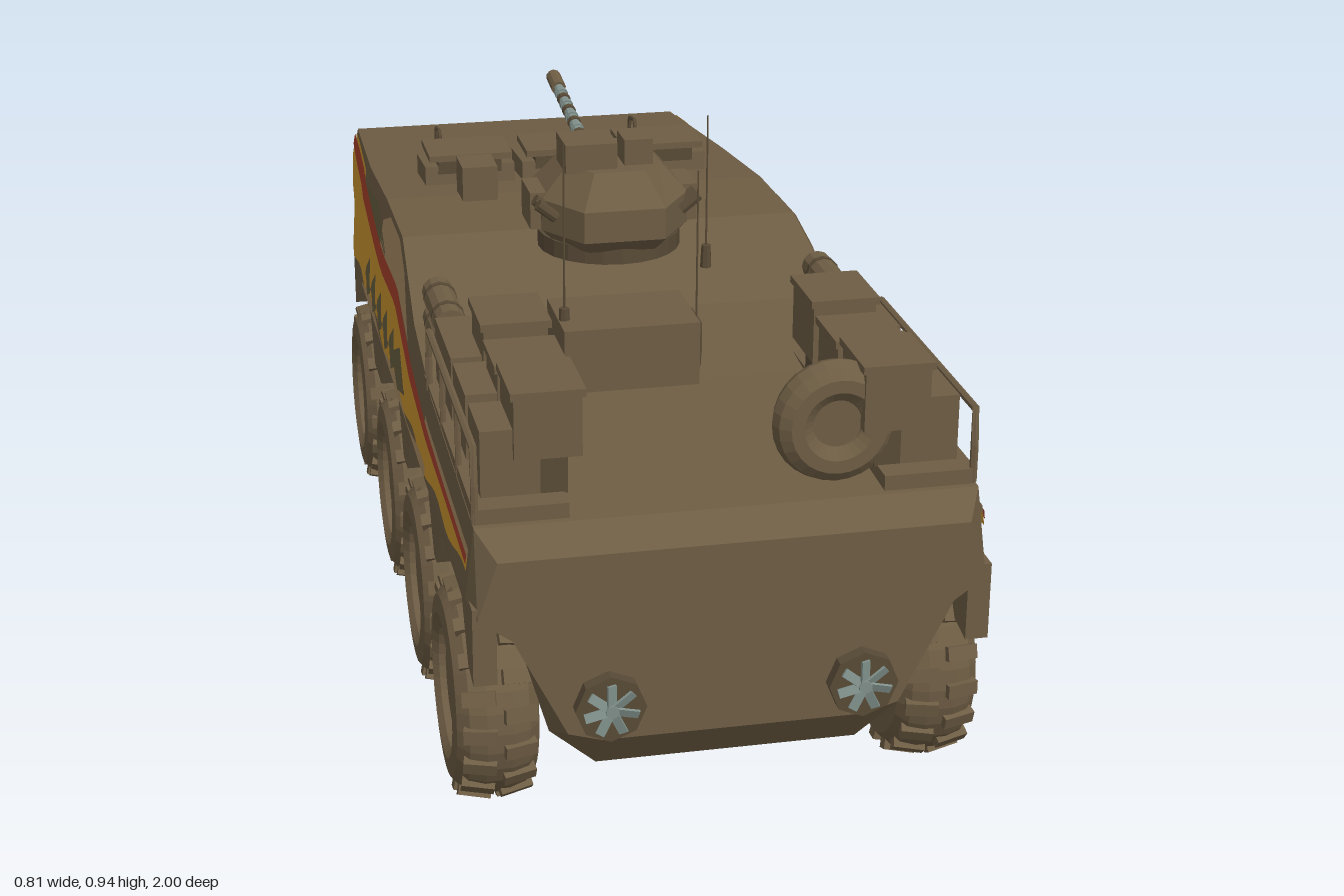
import * as THREE from 'three';

const { lerp, clamp } = THREE.MathUtils;
const mat = (name, color, side = THREE.FrontSide) => {
  const m = new THREE.MeshStandardMaterial({ color, side, flatShading: true });
  m.name = name;
  return m;
};

// Deck edge [z, x, y], red stripe line [z, y], and lower half-outlines [x, y] from belt to keel
const DECK = [[-0.985, 0.337, 0.557], [-0.58, 0.353, 0.595], [-0.285, 0.355, 0.625], [-0.05, 0.355, 0.63],
  [0.2, 0.368, 0.56], [0.47, 0.376, 0.535], [0.92, 0.376, 0.518], [0.97, 0.35, 0.485]];
const FLOW = [[-0.97, 0.541], [-0.65, 0.556], [-0.2, 0.53], [0, 0.54], [0.25, 0.498], [0.5, 0.481], [0.92, 0.471]];
const NOSE = [[0.347, 0.5], [0.335, 0.495], [0.31, 0.49], [0.24, 0.485]];
const BODY = [[0.39, 0.41], [0.33, 0.39], [0.27, 0.18], [0.2, 0.12]];
const REAR = [[0.38, 0.395], [0.33, 0.36], [0.25, 0.2], [0.2, 0.185]];

// Straight-line reading of a table at z
function readAt(table, z, column) {
  let i = 0;
  while (i < table.length - 2 && table[i + 1][0] < z) i++;
  const [a, b] = [table[i], table[i + 1]];
  return lerp(a[column], b[column], (z - a[0]) / (b[0] - a[0]));
}
// Lower outline: body shape, tapering to the nose and to the tail
function lowerOutline(z) {
  const [end, t] = z < 0 ? [NOSE, clamp((-0.58 - z) / 0.405, 0, 1)] : [REAR, clamp((z - 0.92) / 0.05, 0, 1)];
  return BODY.map(([x, y], i) => [lerp(x, end[i][0], t), lerp(y, end[i][1], t)]);
}

// Closed skin over rings of [x, y, z], with fan caps
function loft(rings) {
  const pos = [];
  const tri = (...p) => p.forEach((v) => pos.push(...v));
  const n = rings[0].length;
  const mid = (r) => [0, 1, 2].map((q) => r.reduce((s, p) => s + p[q], 0) / n);
  const first = rings[0], last = rings[rings.length - 1];
  for (let j = 0; j < n; j++) {
    const k = (j + 1) % n;
    for (let i = 0; i < rings.length - 1; i++) {
      const [a, b, c, d] = [rings[i][j], rings[i][k], rings[i + 1][k], rings[i + 1][j]];
      tri(a, b, c);
      tri(a, c, d);
    }
    tri(mid(first), first[k], first[j]);
    tri(mid(last), last[j], last[k]);
  }
  const g = new THREE.BufferGeometry();
  g.setAttribute('position', new THREE.Float32BufferAttribute(pos, 3));
  g.computeVertexNormals();
  return g;
}

// Painted strip lying on the hull side from z0 to z1 between the curves low(z) and high(z)
function sideStrip(sx, z0, z1, low, high, lift) {
  const pos = [], idx = [], steps = 48;
  for (let s = 0; s <= steps; s++) {
    const z = lerp(z0, z1, s / steps);
    const [bx, by] = lowerOutline(z)[0];
    const dx = readAt(DECK, z, 1), dy = readAt(DECK, z, 2);
    for (const y of [low(z), high(z)]) {
      const t = clamp((y - by) / (dy - by), 0.02, 0.98);
      pos.push(sx * (lerp(bx, dx, t) + lift), lerp(by, dy, t), z);
    }
    const i = s * 2;
    if (s < steps && sx > 0) idx.push(i, i + 1, i + 2, i + 1, i + 3, i + 2);
    else if (s < steps) idx.push(i, i + 2, i + 1, i + 1, i + 2, i + 3);
  }
  const g = new THREE.BufferGeometry();
  g.setAttribute('position', new THREE.Float32BufferAttribute(pos, 3));
  g.setIndex(idx);
  g.computeVertexNormals();
  return g;
}

export function createModel() {
  const root = new THREE.Group();
  root.name = 'armouredCarrier';
  const brown = mat('earthBrown', 0x6e5d44);
  const dark = mat('darkBrown', 0x584a36);
  const red = mat('stripeRed', 0xa63f2b, THREE.DoubleSide);
  const orange = mat('stripeOrange', 0xc8922f, THREE.DoubleSide);
  const tan = mat('camoTan', 0xa78a62, THREE.DoubleSide);
  const olive = mat('camoOlive', 0x665c40, THREE.DoubleSide);
  const steel = mat('steel', 0x7f8f8a);

  const add = (name, geo, m, x = 0, y = 0, z = 0, parent = root) => {
    const mesh = new THREE.Mesh(geo, m);
    mesh.name = name;
    mesh.position.set(x, y, z);
    parent.add(mesh);
    return mesh;
  };
  // Box given by its min and max corners
  const box = (name, x0, x1, y0, y1, z0, z1, m = brown, parent = root) =>
    add(name, new THREE.BoxGeometry(x1 - x0, y1 - y0, z1 - z0), m, (x0 + x1) / 2, (y0 + y1) / 2, (z0 + z1) / 2, parent);
  const cyl = (name, r0, r1, h, sides, m, x, y, z, parent = root) =>
    add(name, new THREE.CylinderGeometry(r0, r1, h, sides), m, x, y, z, parent);
  const rod = (name, pts, r, m = brown) => {
    const path = new THREE.CurvePath();
    const v = pts.map((p) => new THREE.Vector3(...p));
    for (let i = 1; i < v.length; i++) path.add(new THREE.LineCurve3(v[i - 1], v[i]));
    return add(name, new THREE.TubeGeometry(path, (v.length - 1) * 4, r, 6), m);
  };

  // Hull
  add('hull', loft(DECK.map(([z, x, y]) => {
    const half = [[x, y], ...lowerOutline(z)];
    return [[x, y, z], ...half.map((p) => [-p[0], p[1], z]), ...half.slice(1).reverse().map((p) => [...p, z])];
  })), brown);

  // Wheels: rounded tyre, recessed hub and staggered tread lugs
  const tyre = new THREE.LatheGeometry([[0, -0.055], [0.1, -0.06], [0.14, -0.062], [0.16, -0.045], [0.168, -0.02],
    [0.168, 0.02], [0.16, 0.045], [0.14, 0.062], [0.112, 0.065], [0.1, 0.056], [0.095, 0.04], [0, 0.04]]
    .map(([r, h]) => new THREE.Vector2(r, h)), 32);
  const lug = new THREE.BoxGeometry(0.016, 0.05, 0.022);
  const wheelZ = [0.745, 0.375, -0.016, -0.46];
  for (const z of wheelZ) {
    for (const sx of [1, -1]) {
      const wheel = new THREE.Group();
      wheel.name = 'wheel';
      wheel.position.set(sx * 0.34, 0.176, z);
      wheel.rotation.z = -sx * Math.PI / 2;
      add('tyre', tyre, brown, 0, 0, 0, wheel);
      cyl('hubPlate', 0.08, 0.085, 0.008, 16, brown, 0, 0.044, 0, wheel);
      for (let i = 0; i < 36; i++) {
        const a = (i / 36) * Math.PI * 2, h = i % 2 ? 1 : -1;
        add('treadLug', lug, brown, Math.cos(a) * 0.164, h * 0.03, -Math.sin(a) * 0.164, wheel).rotation.set(0, a, h * 0.22);
      }
      root.add(wheel);
    }
    cyl('axle', 0.025, 0.025, 0.6, 10, dark, 0, 0.176, z).rotation.z = Math.PI / 2;
  }

  // Skirts with angular wheel arches
  const arch = [[-0.965, 0.412], [-0.965, 0.29]];
  for (const z of wheelZ) arch.push([-z - 0.17, 0.3], [-z - 0.115, 0.385], [-z + 0.115, 0.385], [-z + 0.17, 0.3]);
  arch.push([0.635, 0.41]);
  const skirt = new THREE.ExtrudeGeometry(new THREE.Shape(arch.map((p) => new THREE.Vector2(...p))), { depth: 0.035, bevelEnabled: false });
  skirt.rotateY(Math.PI / 2);
  for (const sx of [1, -1]) add('wheelArchSkirt', skirt, brown, sx * 0.3695 - 0.0175);

  // Painted side camouflage, all following the red stripe's line
  const flow = (z) => readAt(FLOW, z, 1);
  const edge = (z) => lowerOutline(z)[0][1];
  const bump = (z, c, w) => Math.max(0, 1 - Math.abs(z - c) / w);
  for (const sx of [1, -1]) {
    const paint = (name, m, ...strip) => add(name, sideStrip(sx, ...strip), m);
    paint('orangeStripe', orange, -0.97, 0.92, (z) => edge(z) + 0.012 + 0.008 * Math.sin(23 * z) + Math.max(0, z - 0.5) * 0.06, flow, 0.004);
    const half = (z) => 0.007 + 0.009 * clamp((0.7 - z) / 0.7, 0, 1) * clamp((z + 1.1) / 0.3, 0, 1);
    paint('redStripe', red, -0.97, 0.92, (z) => flow(z) - half(z), (z) => flow(z) + half(z), 0.006);
    paint('tanUpper', tan, -0.27, 0.2, (z) => flow(z) + 0.01, (z) => flow(z) + 0.01 + 0.12 * bump(z, -0.1, 0.28), 0.004);
    paint('tanRear', tan, 0.45, 0.92, flow, (z) => flow(z) + 0.015, 0.004);
    paint('tanLower', tan, -0.42, 0.5, edge, (z) => edge(z) + 0.014 + 0.008 * Math.sin(17 * z), 0.005);
    paint('oliveUpper', olive, -0.6, -0.2, flow, (z) => flow(z) + 0.015 + 0.04 * bump(z, -0.36, 0.2), 0.004);
    paint('orangeNose', orange, -0.95, -0.62, flow, (z) => flow(z) + 0.02, 0.004);
    for (let i = 0; i < 6; i++) {
      const c = 0.13 - i * 0.095, w = i ? 0.045 : 0.09;
      paint('olivePatch', olive, c - w, c + w, (z) => 0.445 - 0.022 * bump(z, c + 0.015, w), (z) => 0.447 + 0.04 * bump(z, c - 0.015, w), 0.006);
    }
  }

  // Turret: faceted shell on a ring
  const oct = (y, hx, z0, z1) => [[1, 0.3], [0.55, 0], [-0.55, 0], [-1, 0.3], [-1, 0.7], [-0.55, 1], [0.55, 1], [1, 0.7]]
    .map(([u, w]) => [u * hx, y, lerp(z0, z1, w)]);
  cyl('turretRing', 0.125, 0.125, 0.03, 24, dark, 0, 0.637, 0.02);
  add('turretShell', loft([oct(0.645, 0.105, -0.1, 0.14), oct(0.67, 0.128, -0.13, 0.165),
    oct(0.725, 0.128, -0.13, 0.165), oct(0.78, 0.08, -0.08, 0.12)]), brown);
  box('largeSight', -0.09, 0, 0.775, 0.825, 0.01, 0.1);
  box('smallSight', 0.015, 0.065, 0.775, 0.825, 0.02, 0.085);
  for (const sx of [1, -1]) {
    box('turretPod', sx * 0.132 - 0.015, sx * 0.132 + 0.015, 0.67, 0.735, -0.02, 0.07);
    for (let i = 0; i < 3; i++) cyl('smokeTube', 0.01, 0.01, 0.04, 8, dark, sx * 0.125, 0.715, 0.05 + i * 0.03).rotation.z = -sx * 0.9;
  }

  // Gun: sleeve, steel barrel with rings, muzzle
  const gun = new THREE.Group();
  gun.name = 'gun';
  gun.position.set(0, 0.718, -0.1);
  gun.rotation.x = -Math.PI / 2 + 0.14;
  box('mantlet', -0.04, 0.04, -0.02, 0.05, -0.032, 0.032, brown, gun);
  cyl('barrelSleeve', 0.014, 0.024, 0.1, 12, brown, 0, 0.09, 0, gun);
  cyl('barrel', 0.009, 0.011, 0.3, 10, steel, 0, 0.27, 0, gun);
  for (let i = 0; i < 8; i++) cyl('barrelRing', 0.0125, 0.0125, 0.012, 10, i % 2 ? steel : dark, 0, 0.15 + i * 0.027, 0, gun);
  cyl('muzzle', 0.014, 0.014, 0.06, 10, brown, 0, 0.395, 0, gun);
  root.add(gun);

  // Forward hatch row, sight box and nose fittings
  for (const x of [-0.185, 0, 0.185]) {
    box('crewHatch', x - 0.085, x + 0.085, 0.6, 0.645, -0.51, -0.385).rotation.x = -0.08;
    box('visionBlock', x - 0.06, x + 0.06, 0.635, 0.665, -0.42, -0.385, dark);
    box('hatchVisor', x - 0.078, x + 0.078, 0.662, 0.674, -0.49, -0.375);
  }
  box('sightBox', -0.22, -0.155, 0.62, 0.69, -0.32, -0.24);
  rod('sightCable', [[-0.165, 0.635, -0.32], [-0.165, 0.63, -0.4]], 0.004);
  for (const sx of [1, -1]) {
    box('glacisPanel', sx * 0.117 - 0.027, sx * 0.117 + 0.027, 0.578, 0.588, -0.78, -0.66, dark).rotation.x = -0.09;
    rod('grabHandle', [[sx * 0.2, 0.575, -0.76], [sx * 0.2, 0.618, -0.755], [sx * 0.2, 0.625, -0.705], [sx * 0.2, 0.58, -0.7]], 0.004, dark);
    box('towEye', sx * 0.22 - 0.02, sx * 0.22 + 0.02, 0.515, 0.54, -1, -0.98, steel);
    for (const x of [0.08, 0.19]) rod('noseRib', [[sx * x, 0.485, -0.985], [sx * x, 0.12, -0.58]], 0.004, dark);
  }

  // Engine box on the rear deck
  box('engineBox', -0.165, 0.055, 0.52, 0.64, 0.335, 0.49);
  box('engineBoxLatch', 0.055, 0.07, 0.56, 0.62, 0.37, 0.44, dark);

  // Stowage on both sides: tray, packs, rail and bedding rolls
  for (const sx of [1, -1]) {
    const side = (name, x0, x1, ...rest) => box(name, Math.min(sx * x0, sx * x1), Math.max(sx * x0, sx * x1), ...rest);
    side('stowageTray', 0.235, 0.375, 0.515, 0.542, 0.38, 0.91);
    for (const [z0, z1] of [[0.76, 0.87], [0.6, 0.73], [0.4, 0.58]]) side('lowerPack', 0.27, 0.358, 0.54, 0.645, z0, z1);
    for (const [z0, z1, top] of [[0.76, 0.88, 0.705], [0.63, 0.735, 0.69], [0.48, 0.6, 0.705]]) {
      side('upperPack', 0.21, 0.31, 0.6, top - 0.012, z0, z1);
      side('packLid', 0.205, 0.315, top - 0.012, top, z0 - 0.004, z1 + 0.004);
      side('packSupport', 0.23, 0.3, 0.54, 0.6, z0 + 0.01, z1 - 0.01, dark);
    }
    const rx = sx * 0.372;
    rod('stowageRail', [[rx, 0.52, 0.905], [rx, 0.635, 0.905], [rx, 0.635, 0.42], [rx, 0.53, 0.42]], 0.006);
    for (const z of [0.58, 0.745]) rod('railPost', [[rx, 0.52, z], [rx, 0.635, z]], 0.005);
    for (const y of [0.573, 0.618]) {
      const roll = cyl('beddingRoll', 0.026, 0.026, 0.165, 12, brown, sx * 0.328, y, 0.285);
      roll.rotation.x = Math.PI / 2;
      for (const o of [-0.045, 0.045]) cyl('rollStrap', 0.028, 0.028, 0.01, 12, dark, 0, o, 0, roll);
    }
  }

  // Spare tyre standing on the rear deck
  add('spareTyre', new THREE.TorusGeometry(0.064, 0.032, 10, 28), brown, 0.175, 0.61, 0.845);
  cyl('spareHub', 0.048, 0.048, 0.03, 20, brown, 0.175, 0.61, 0.845).rotation.x = Math.PI / 2;

  // Water propellers at the rear
  for (const sx of [1, -1]) {
    const prop = new THREE.Group();
    prop.name = 'waterPropeller';
    prop.position.set(sx * 0.19, 0.245, 0.965);
    cyl('propellerHousing', 0.053, 0.053, 0.05, 8, dark, 0, 0, 0, prop).rotation.x = Math.PI / 2;
    for (let i = 0; i < 7; i++) {
      const a = (i / 7) * Math.PI * 2;
      const blade = box('propellerBlade', -0.007, 0.007, -0.017, 0.017, 0.027, 0.031, steel, prop);
      blade.position.set(-Math.sin(a) * 0.024, Math.cos(a) * 0.024, 0.029);
      blade.rotation.set(0, 0.35, a, 'ZYX');
    }
    cyl('propellerHub', 0.01, 0.01, 0.012, 10, steel, 0, 0, 0.029, prop).rotation.x = Math.PI / 2;
    root.add(prop);
  }

  // Antennas
  for (const [x, z, y0, y1] of [[-0.155, 0.435, 0.63, 0.935], [0.065, 0.42, 0.53, 0.87], [0.145, 0.15, 0.62, 0.88]]) {
    cyl('antennaBase', 0.008, 0.01, 0.04, 8, dark, x, y0 + 0.01, z);
    cyl('antenna', 0.0015, 0.002, y1 - y0, 5, dark, x, (y0 + y1) / 2, z);
  }
  return root;
}
